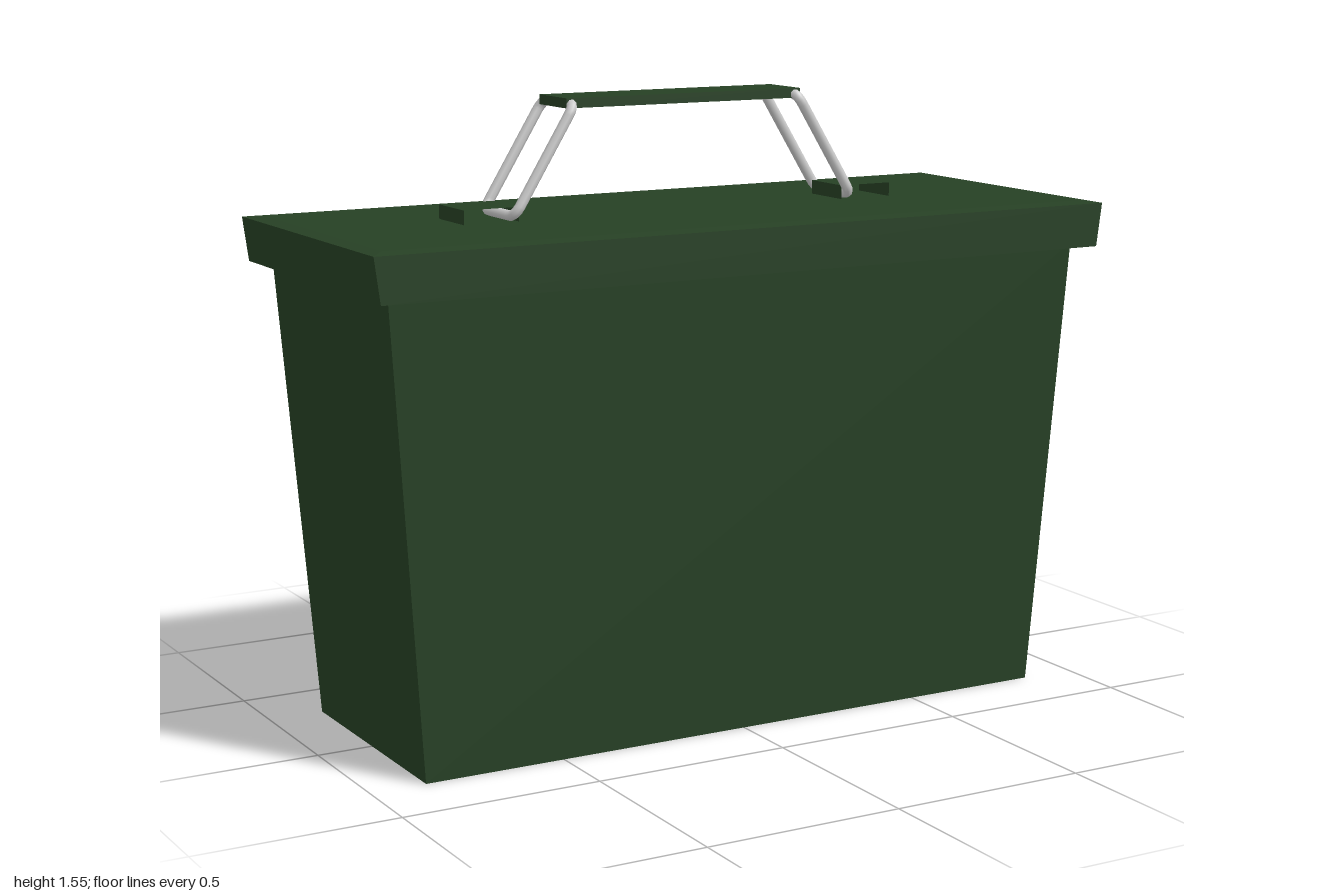
import * as THREE from 'three';

const green = new THREE.MeshStandardMaterial({ color: 0x264024 });
const greenSheet = new THREE.MeshStandardMaterial({ color: 0x264024, side: THREE.DoubleSide });
const steel = new THREE.MeshStandardMaterial({ color: 0xcccccc });

// Closed flat-shaded solid through rectangular rings [y, halfX, halfZ], bottom to top
function rectLoft(rings) {
  const pos = [], idx = [];
  for (const [y, x, z] of rings) pos.push(-x, y, z, x, y, z, x, y, -z, -x, y, -z);
  for (let r = 0; r < rings.length - 1; r++) {
    for (let i = 0; i < 4; i++) {
      const a = r * 4 + i, b = r * 4 + (i + 1) % 4;
      idx.push(a, b, b + 4, a, b + 4, a + 4);
    }
  }
  const t = (rings.length - 1) * 4;
  idx.push(0, 2, 1, 0, 3, 2, t, t + 1, t + 2, t, t + 2, t + 3);
  const geo = new THREE.BufferGeometry();
  geo.setAttribute('position', new THREE.Float32BufferAttribute(pos, 3));
  geo.setIndex(idx);
  const flat = geo.toNonIndexed();
  flat.computeVertexNormals();
  return flat;
}

// Folded sheet: profile [x, y] swept across z
function foldedSheet(profile, halfZ) {
  const pos = [];
  for (let i = 0; i < profile.length - 1; i++) {
    const [x0, y0] = profile[i], [x1, y1] = profile[i + 1];
    pos.push(x0, y0, halfZ, x1, y1, halfZ, x1, y1, -halfZ);
    pos.push(x0, y0, halfZ, x1, y1, -halfZ, x0, y0, -halfZ);
  }
  const geo = new THREE.BufferGeometry();
  geo.setAttribute('position', new THREE.Float32BufferAttribute(pos, 3));
  geo.computeVertexNormals();
  return geo;
}

// Closed wire loop with rounded corners, through the bracket and the grip
function wireLoop(low, high, halfZ, r) {
  const at = (t, z) => new THREE.Vector3(
    THREE.MathUtils.lerp(low[0], high[0], t), THREE.MathUtils.lerp(low[1], high[1], t), z);
  const corners = [at(0, halfZ), at(1, halfZ), at(1, -halfZ), at(0, -halfZ)];
  const path = new THREE.CurvePath();
  const toward = (a, b) => a.clone().add(b.clone().sub(a).setLength(r));
  corners.forEach((c, i) => {
    const prev = corners[(i + 3) % 4], next = corners[(i + 1) % 4];
    path.add(new THREE.QuadraticBezierCurve3(toward(c, prev), c, toward(c, next)));
    path.add(new THREE.LineCurve3(toward(c, next), toward(next, c)));
  });
  return new THREE.TubeGeometry(path, 80, 0.013, 8, true);
}

export function createModel() {
  const group = new THREE.Group();
  const add = (name, geo, mat, parent = group) => {
    const mesh = new THREE.Mesh(geo, mat);
    mesh.name = name;
    parent.add(mesh);
    return mesh;
  };

  // Tapered box and overhanging lid with a slightly raised top
  add('body', rectLoft([[0, 0.86, 0.318], [1.15, 0.945, 0.35]]), green);
  add('lid', rectLoft([
    [1.145, 0.985, 0.405], [1.255, 1, 0.405], [1.26, 0.965, 0.365],
  ]), green);

  // Carrying handle, set slightly off the middle of the lid
  const handle = new THREE.Group();
  handle.name = 'handle';
  handle.position.x = -0.026;
  group.add(handle);

  const grip = add('grip', new THREE.BoxGeometry(0.655, 0.024, 0.142), green, handle);
  grip.position.y = 1.538;

  const floor = 1.263, top = 1.298;
  for (const s of [-1, 1]) {
    const side = s > 0 ? 'left' : 'right';
    const profile = [[0.385, floor], [0.456, floor], [0.456, top],
      [0.6, top], [0.6, floor], [0.67, floor]].map(([x, y]) => [s * x, y]);
    add(side + 'Bracket', foldedSheet(profile, 0.07), greenSheet, handle);
    add(side + 'WireLoop', wireLoop([s * 0.474, 1.277], [s * 0.312, 1.537], 0.084, 0.03),
      steel, handle);
  }
  return group;
}
